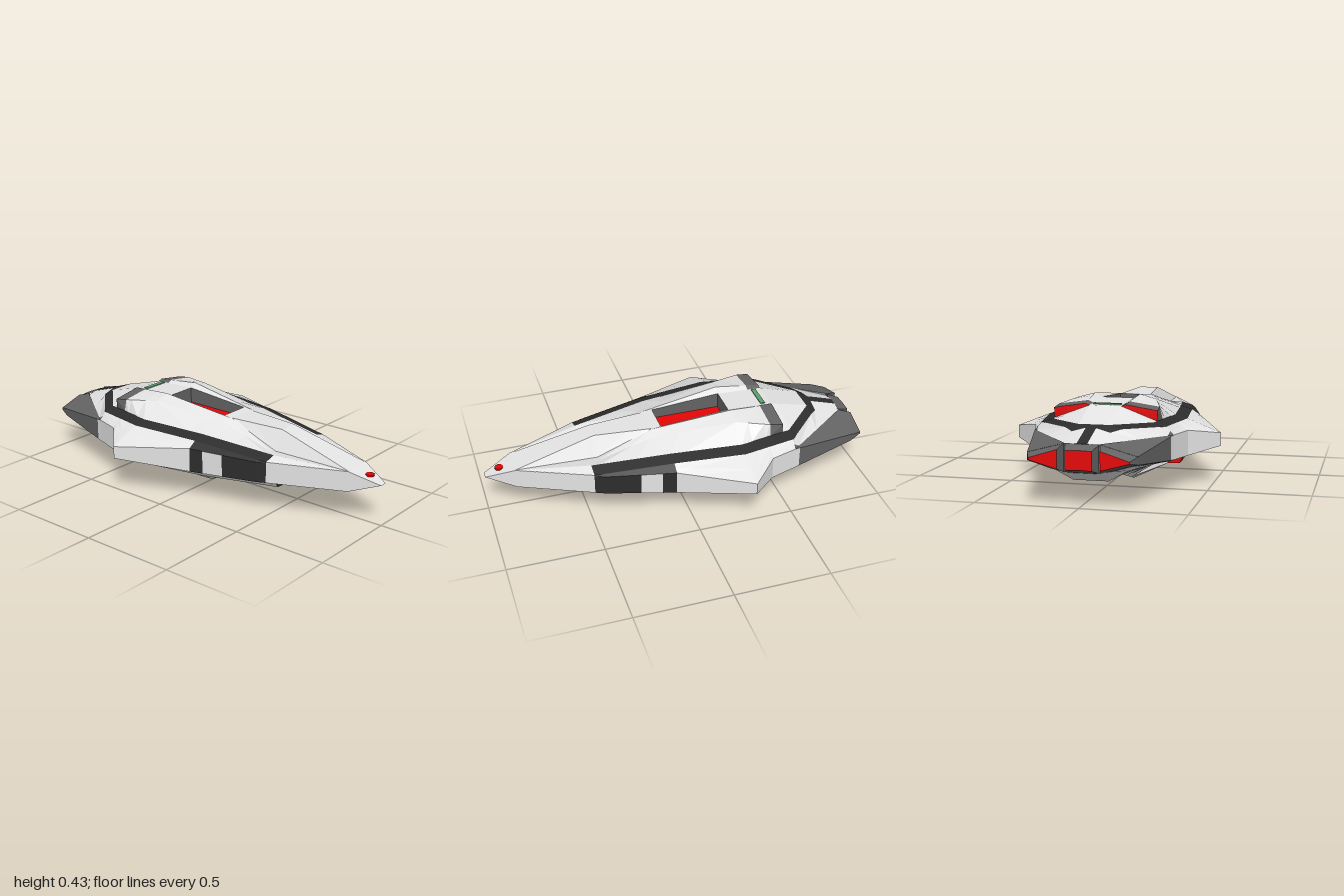
import * as THREE from 'three';

const paint = (name, color) => {
  const m = new THREE.MeshStandardMaterial({ color });
  m.name = name;
  return m;
};

// Piecewise linear curve through [z, ...values], running from nose to tail
const track = (...pts) => (z) => {
  const i = Math.max(1, pts.findIndex((p) => p[0] <= z + 1e-6));
  const [a, b] = [pts[i - 1], pts[i]];
  const t = (z - a[0]) / (b[0] - a[0]);
  return a.slice(1).map((v, k) => v + (b[k + 1] - v) * t);
};
const mix = (p, q, t) => p.map((v, k) => v + (q[k] - v) * t);

// Lengthwise rail: share k of the nose width, nose height, tail point, points between
const rail = (k, noseY, tail, ...pts) =>
  track([1, .02 * k, .2175], [.85, .08 * k, noseY], ...pts, [-.94, ...tail]);
const centre = (curve) => (z) => [0, curve(z)[1]];

// Spine edge
const ridge = rail(.94, .27, [.025, .285], [.43, .05, .378], [.13, .08, .378], [-.29, .08, .412],
  [-.53, .08, .402], [-.745, .07, .343], [-.79, .025, .332]);

// Stripe: the outer edge follows the inner one
const stripeIn = rail(.96, .27, [.03, .285], [.48, .185, .293], [.08, .255, .328], [-.29, .299, .335],
  [-.57, .25, .335], [-.745, .076, .343], [-.79, .03, .332]);
const stripeOut = (z) => {
  const s = THREE.MathUtils.clamp((.85 - z) / .37, 0, 1);
  const [x, y] = stripeIn(z);
  return [x + .062 * s, y - .018 * s];
};

// Hump crest and shoulder, dropping to the rear deck behind the intakes
const humpRail = (share, curve) => (z) => (z < -.53 ? mix(ridge(z), stripeIn(z), share) : curve(z));
const crest = humpRail(.33, track([1, .019, .2175], [.85, .076, .27], [.43, .105, .278], [.13, .085, .378],
  [-.29, .117, .432], [-.53, .1, .41]));
const shoulder = humpRail(.67, track([1, .019, .2175], [.85, .0765, .27], [.43, .14, .285], [.13, .13, .36],
  [-.29, .2, .41], [-.46, .255, .395], [-.53, .26, .385]));

// Side edge, the same above and below, and the line where the dark rear flank starts
const edge = rail(1, .27, [.26, .237], [.43, .27, .27], [.08, .36, .28], [-.29, .53, .25], [-.43, .39, .28],
  [-.57, .347, .278]);
const edgeLow = (z) => [edge(z)[0], .435 - edge(z)[1]];
const flank = (z) => (z < -.57 ? mix(edge(-.57), [.08, .285], (-.57 - z) / .37) : mix(stripeOut(z), edge(z), .5));

// Belly: band and pod edges, keel, and fin dropping from the keel
const keel = rail(.25, .165, [.06, .15], [.48, .045, .1], [.15, .08, .09], [0, .083, .085], [-.79, .083, .085]);
const podOut = rail(.8, .165, [.22, .187], [.48, .17, .16], [.08, .3, .152], [-.29, .365, .15], [-.57, .33, .15]);
const podIn = rail(.62, .165, [.15, .165], [.48, .13, .16], [.47, .13, .1], [.08, .26, .1], [-.29, .335, .1],
  [-.35, .335, .1], [-.351, .335, .148], [-.57, .3, .145]);
const finRoot = (z) => mix(podIn(z), keel(z), .25);
const finDrop = track([1, 0], [.15, 0], [0, .085], [-.29, .085], [-.6, 0], [-.94, 0]);
const finTip = (z) => [keel(z)[0] + .003, keel(z)[1] - finDrop(z)[0]];

const rails = [centre(ridge), ridge, crest, shoulder, stripeIn, stripeOut, flank, edge, edgeLow, podOut, podIn,
  finRoot, finTip, keel, centre(keel)];
const stations = [1, .85, .48, .47, .43, .255, .15, .13, .08, 0, -.29, -.35, -.351, -.43, -.46, -.53,
  -.531, -.57, -.6, -.745, -.79, -.94];
const at = (curve, z) => [...curve(z), z];

export function createModel() {
  const group = new THREE.Group();
  const pale = paint('pale grey hull', 0xe4e4e4);
  const grey = paint('dark grey', 0x646464);
  const black = paint('charcoal stripe', 0x2d2d2d);
  const red = paint('red', 0xe60606);
  const green = paint('green', 0x5a9f6c);
  const parts = new Map();

  // Collects one quad and its mirror image for a named part
  const tri = (list, a, b, c) => {
    list.push(...a, ...b, ...c);
    for (const [x, y, z] of [a, c, b]) list.push(-x, y, z);
  };
  const quad = (name, mat, a, b, c, d) => {
    const key = name + mat.name;
    if (!parts.has(key)) parts.set(key, { name, mat, list: [] });
    const { list } = parts.get(key);
    tri(list, a, b, d);
    tri(list, b, c, d);
  };

  // Colour of each hull panel, by column around the hull and position along it
  const panel = (col, z) => {
    const within = (front, back) => z < front && z > back;
    const band = within(.48, .08);
    if (col === 0) return z < -.745 ? black : pale;
    if (col <= 3) {
      if (within(-.745, -.79)) return black;
      return within(-.53, -.531) ? red : within(-.46, -.53) ? grey : pale;
    }
    if (col === 4) return within(.48, -.79) ? black : pale;
    if (col === 5) return band ? black : pale;
    if (col === 6) return band ? black : z < -.57 ? grey : pale;
    if (col === 7) return band && !within(.255, .15) ? black : z < -.6 ? grey : pale;
    if (col === 8) return band ? black : z < -.6 ? grey : pale;
    if (col <= 11 && within(.48, .47)) return black;
    if (col <= 10 && within(-.35, -.351)) return red;
    if (col === 9 && within(-.29, -.35)) return grey;
    return col === 13 && within(-.29, -.57) ? red : pale;
  };
  const partName = (col) => (col === 0 ? 'spine' : col <= 3 ? 'hump' : col <= 6 ? 'deck'
    : col === 7 ? 'sideWall' : col <= 10 ? 'bellyPod' : col <= 12 ? 'fin' : 'keelPanel');

  // Hull skin between neighbouring rails, and the rear bulkhead
  const hub = [0, .22, -.94];
  for (let i = 0; i < rails.length - 1; i++) {
    const [p, q] = [rails[i], rails[i + 1]];
    for (let j = 0; j < stations.length - 1; j++) {
      const [z1, z2] = [stations[j], stations[j + 1]];
      const mid = (z1 + z2) / 2;
      if (i === 0 && mid < .08 && mid > -.29) continue; // opening of the pit
      quad(partName(i), panel(i, mid), at(p, z1), at(q, z1), at(q, z2), at(p, z2));
    }
    quad('rearBulkhead', grey, at(p, -.94), at(q, -.94), hub, hub);
  }

  // Recessed pit in the spine
  const [f, r] = [at(ridge, .08), at(ridge, -.29)];
  const low = ([x, , z]) => [x, .33, z];
  const mid = ([, y, z]) => [0, y, z];
  quad('pitFloor', red, mid(low(f)), low(f), low(r), mid(low(r)));
  quad('pitWall', grey, low(f), f, r, low(r));
  quad('pitWall', grey, mid(f), f, low(f), mid(low(f)));
  quad('pitWall', grey, r, mid(r), mid(low(r)), low(r));

  // Engine blocks with red exhausts: inner and outer x in front and behind, outer half height
  const engine = ([x0, x1, h], [b0, b1, g]) => {
    const ring = (l, w, top, bottom, half, z) =>
      [[l, top, z], [w, .2175 + Math.min(half, top - .2175), z], [w, .2175 - half, z], [l, bottom, z]];
    const front = ring(x0, x1, .284, .15, h, -.935);
    const back = ring(b0, b1, .265, .175, g, -1);
    for (let k = 0; k < 4; k++) {
      const n = (k + 1) % 4;
      quad('engine', grey, front[k], front[n], back[n], back[k]);
    }
    quad('exhaust', red, ...back);
  };
  engine([0, .08, .067], [0, .063, .045]);
  engine([.085, .262, .019], [.1, .235, .005]);

  for (const { name, mat, list } of parts.values()) {
    const geo = new THREE.BufferGeometry();
    geo.setAttribute('position', new THREE.Float32BufferAttribute(list, 3));
    geo.computeVertexNormals();
    const mesh = new THREE.Mesh(geo, mat);
    mesh.name = name;
    group.add(mesh);
  }

  // Nose lamp and rear marker bar
  const lamp = new THREE.Mesh(new THREE.CylinderGeometry(.023, .023, .009, 8), red);
  lamp.name = 'noseLamp';
  lamp.position.set(0, .249, .923);
  const bar = new THREE.Mesh(new THREE.BoxGeometry(.14, .008, .025), green);
  bar.name = 'markerBar';
  bar.position.set(0, .405, -.49);
  group.add(lamp, bar);
  return group;
}
